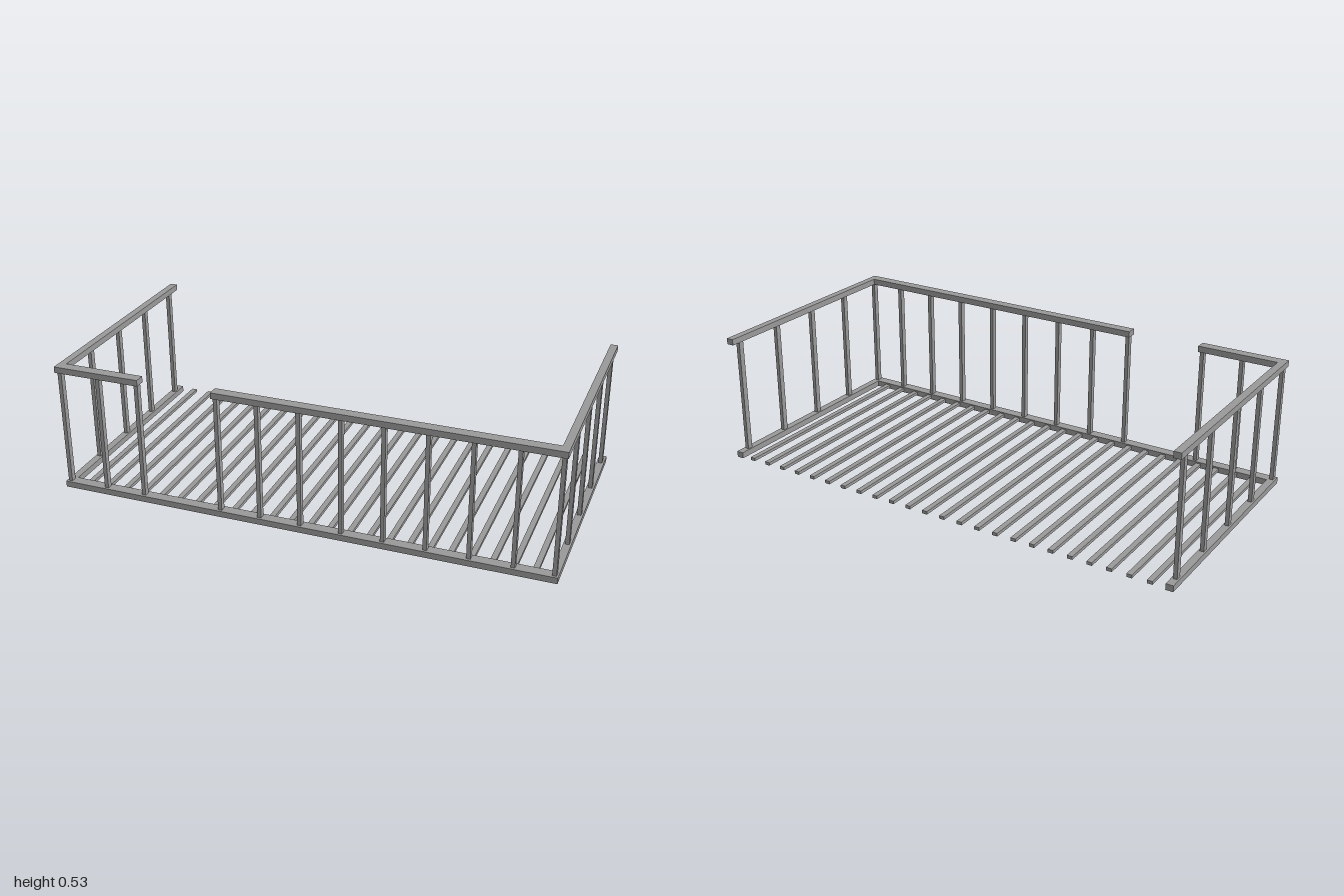
import * as THREE from 'three';

const BAR = 0.025;        // rail height
const TOP = 0.528;        // overall height
const FRONT_Z = 0.467;    // centre line of the front railing
const SIDE_X = 0.985;     // centre line of the end railings

export function createModel() {
  const model = new THREE.Group();
  const material = new THREE.MeshStandardMaterial({ color: 0x999999 });

  // Axis-aligned bar spanning [min, max] on each axis
  const bar = (name, [x0, x1], [y0, y1], [z0, z1]) => {
    const mesh = new THREE.Mesh(new THREE.BoxGeometry(x1 - x0, y1 - y0, z1 - z0), material);
    mesh.name = name;
    mesh.position.set((x0 + x1) / 2, (y0 + y1) / 2, (z0 + z1) / 2);
    model.add(mesh);
  };
  const around = (c, width) => [c - width / 2, c + width / 2];
  const bottomY = [0, BAR], topY = [TOP - BAR, TOP];
  const post = (name, x, z) => bar(name, around(x, 0.016), [BAR, TOP - BAR], around(z, 0.023));

  // Front railing, with a gap for the entrance
  const frontDepth = around(FRONT_Z, 0.043);
  bar('frontBottomRail', [-1, 1], bottomY, frontDepth);
  bar('frontTopRailShort', [-1, -0.64], topY, frontDepth);
  bar('frontTopRailLong', [-0.335, 1], topY, frontDepth);
  [-0.82, -0.653].forEach((x) => post('frontPost', x, FRONT_Z));
  for (let i = 0; i < 8; i++) post('frontPost', -0.322 + i * 0.1652, FRONT_Z);

  // End railings, mirrored left and right
  for (const side of [-1, 1]) {
    const name = side > 0 ? 'left' : 'right';
    const width = around(side * SIDE_X, 0.03);
    bar(name + 'BottomRail', width, bottomY, [-0.485, 0.4885]);
    bar(name + 'TopRail', width, topY, [-0.485, 0.4885]);
    for (let i = 0; i < 5; i++) post(name + 'Post', side * SIDE_X, FRONT_Z - i * 0.2243);
  }

  // Floor slats running front to back
  for (let i = 0; i < 24; i++) {
    bar('floorSlat', around(-0.912 + i * 0.0793, 0.022), [0.006, 0.019], [-0.4885, 0.455]);
  }
  return model;
}
